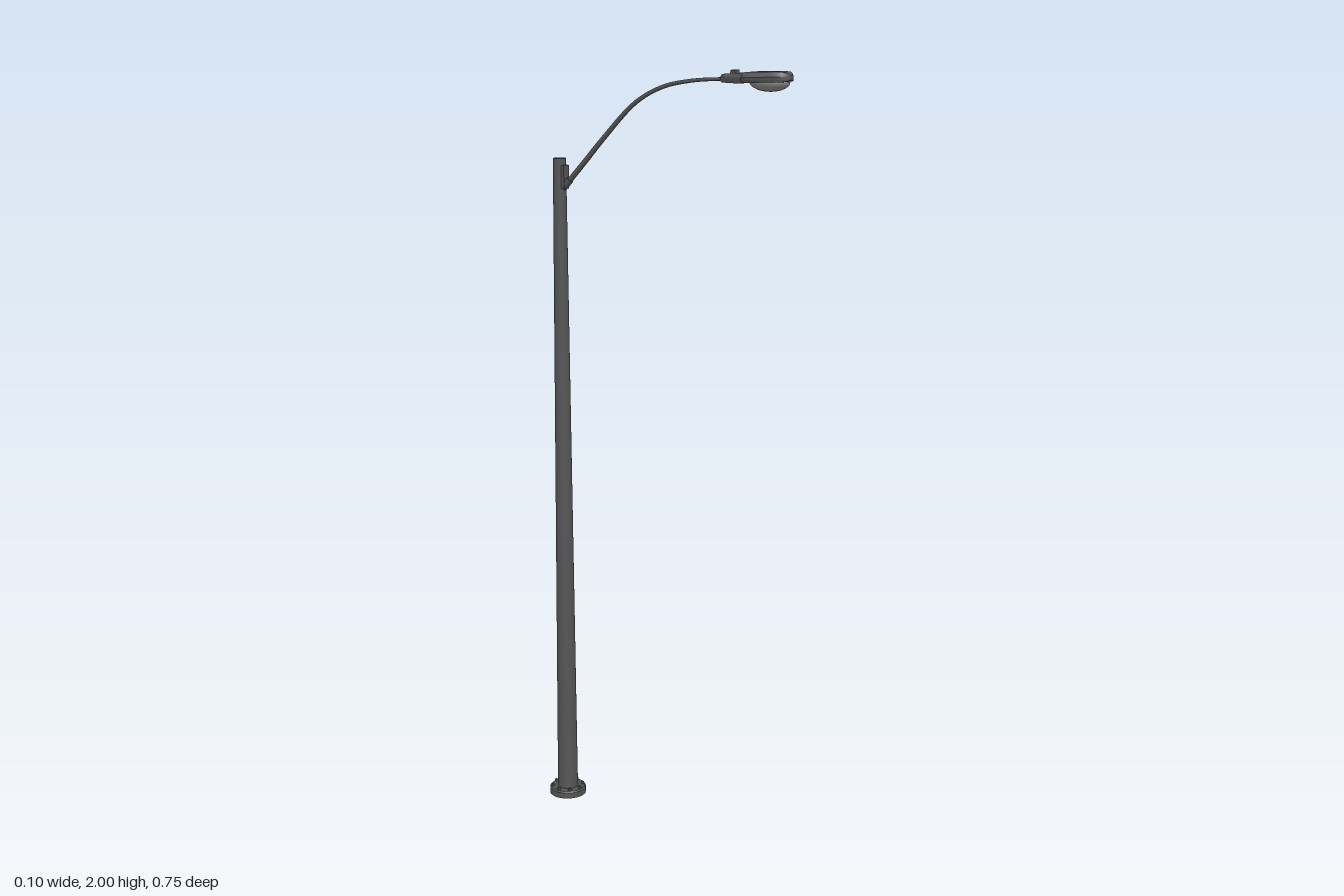
import * as THREE from 'three';
import { toCreasedNormals } from 'three/addons/utils/BufferGeometryUtils.js';

const POLE_Z = -0.323;

// Closed loft along z through rings of [x, y, z] points, counter-clockwise seen from +z
function loft(rings) {
  const n = rings[0].length, index = [];
  for (let i = 0; i < rings.length - 1; i++) {
    for (let j = 0; j < n; j++) {
      const k = (j + 1) % n;
      const a = i * n + j, b = i * n + k, c = (i + 1) * n + k, d = (i + 1) * n + j;
      index.push(a, b, c, a, c, d);
    }
  }
  const last = (rings.length - 1) * n;
  for (let j = 1; j < n - 1; j++) {
    index.push(0, j + 1, j, last, last + j, last + j + 1);
  }
  const geo = new THREE.BufferGeometry();
  geo.setAttribute('position', new THREE.Float32BufferAttribute(rings.flat(2), 3));
  geo.setIndex(index);
  return toCreasedNormals(geo, 0.6);
}

// Tube whose radius shrinks evenly from r0 to r1
function taperedTube(curve, r0, r1, steps, sides) {
  const geo = new THREE.TubeGeometry(curve, steps, 1, sides);
  const pos = geo.attributes.position, v = new THREE.Vector3();
  for (let i = 0; i < pos.count; i++) {
    const u = Math.floor(i / (sides + 1)) / steps;
    const centre = curve.getPointAt(u);
    v.fromBufferAttribute(pos, i).sub(centre).multiplyScalar(r0 + (r1 - r0) * u).add(centre);
    pos.setXYZ(i, v.x, v.y, v.z);
  }
  return geo;
}

export function createModel() {
  const model = new THREE.Group();
  model.name = 'streetLamp';
  const metal = new THREE.MeshStandardMaterial({ color: 0x555555 });
  metal.name = 'darkGreyMetal';
  const glass = new THREE.MeshStandardMaterial({ color: 0x8c8c8c });
  glass.name = 'greyGlass';

  const add = (name, geo, x, y, z, material = metal) => {
    const mesh = new THREE.Mesh(geo, material);
    mesh.name = name;
    mesh.position.set(x, y, z);
    model.add(mesh);
    return mesh;
  };

  // Base flange with bevelled rim, and its ring of bolts
  const flange = [[0, 0], [0.05, 0], [0.05, 0.016], [0.047, 0.02], [0, 0.02]]
    .map(([r, y]) => new THREE.Vector2(r, y));
  add('baseFlange', toCreasedNormals(new THREE.LatheGeometry(flange, 32), 0.5), 0, 0, POLE_Z);
  for (let i = 0; i < 8; i++) {
    const a = i * Math.PI / 4;
    add('baseBolt', new THREE.CylinderGeometry(0.005, 0.005, 0.007, 6),
      0.041 * Math.cos(a), 0.0225, POLE_Z + 0.041 * Math.sin(a));
  }

  // Tapered pole
  add('pole', new THREE.CylinderGeometry(0.017, 0.028, 1.745, 24), 0, 0.8895, POLE_Z);

  // Bracket and socket holding the arm
  add('armBracket', new THREE.BoxGeometry(0.022, 0.06, 0.012), 0, 1.715, POLE_Z + 0.016);
  const socket = add('armSocket', new THREE.CylinderGeometry(0.009, 0.01, 0.03, 16), 0, 1.699, -0.299);
  socket.rotation.x = 0.8;

  // Curved arm
  const path = new THREE.CatmullRomCurve3([
    [1.685, -0.312], [1.76, -0.238], [1.82, -0.18], [1.912, -0.08],
    [1.952, 0], [1.97, 0.085], [1.979, 0.2],
  ].map(([y, z]) => new THREE.Vector3(0, y, z)));
  add('arm', taperedTube(path, 0.0075, 0.004, 48, 12), 0, 0, 0);

  // Lamp housing: [z, half width, bottom, rim, top]
  const stations = [
    [0.182, 0.016, 1.972, 1.982, 1.988],
    [0.186, 0.018, 1.970, 1.983, 1.990],
    [0.236, 0.018, 1.969, 1.984, 1.994],
    [0.246, 0.024, 1.970, 1.984, 1.995],
    [0.252, 0.035, 1.971, 1.984, 1.996],
    [0.262, 0.038, 1.972, 1.985, 1.997],
    [0.310, 0.037, 1.974, 1.987, 1.999],
    [0.340, 0.033, 1.975, 1.988, 2.000],
    [0.357, 0.026, 1.976, 1.989, 1.999],
    [0.367, 0.016, 1.978, 1.989, 1.996],
    [0.372, 0.007, 1.981, 1.989, 1.992],
  ];
  const housing = loft(stations.map(([z, w, bottom, rim, top]) => [
    [w * 0.9, bottom, z], [w, rim - 0.006, z], [w, rim, z], [w * 0.7, top, z],
    [-w * 0.7, top, z], [-w, rim, z], [-w, rim - 0.006, z], [-w * 0.9, bottom, z],
  ]));
  add('lampHousing', housing, 0, 0, 0);

  // Small latch on the neck
  add('neckLatch', new THREE.BoxGeometry(0.022, 0.011, 0.012), 0, 1.9945, 0.213);

  // Lens bowl under the housing
  const bowl = new THREE.SphereGeometry(1, 28, 10, 0, Math.PI * 2, Math.PI / 2, Math.PI / 2);
  bowl.scale(0.032, 0.024, 0.054);
  add('lens', bowl, 0, 1.976, 0.311, glass);

  return model;
}
